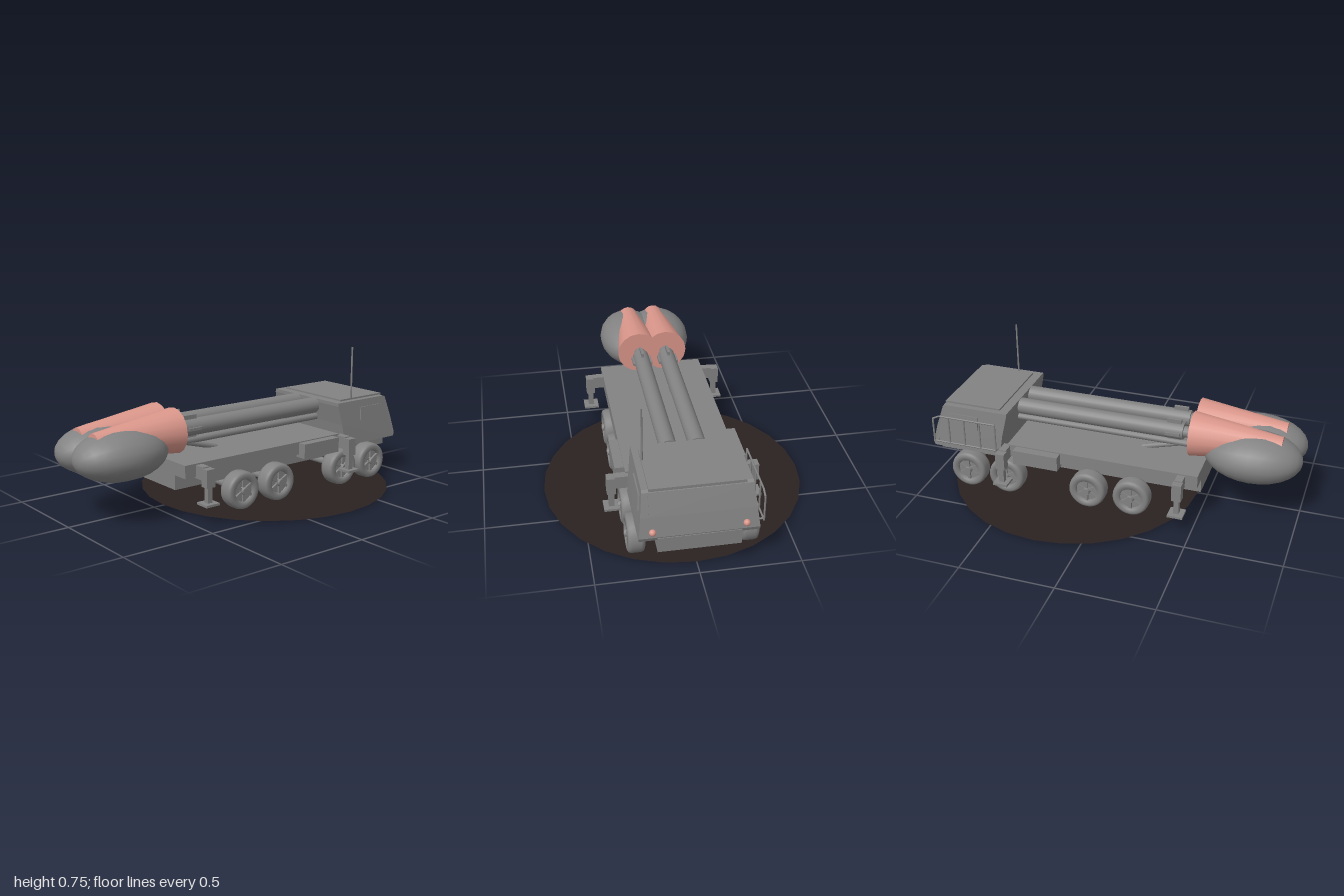
import * as THREE from 'three';

const mat = (name, color, side = THREE.FrontSide) => {
  const m = new THREE.MeshStandardMaterial({ color, side });
  m.name = name;
  return m;
};

export function createModel() {
  const root = new THREE.Group();
  const grey = mat('grey', 0x838282);
  const pink = mat('salmon', 0xda968a);
  const dark = mat('darkBase', 0x2b2121, THREE.DoubleSide);

  const add = (name, geo, material, x = 0, y = 0, z = 0, parent = root) => {
    const m = new THREE.Mesh(geo, material);
    m.name = name;
    m.position.set(x, y, z);
    parent.add(m);
    return m;
  };
  // box given by its limits
  const box = (name, x0, x1, y0, y1, z0, z1, parent = root) =>
    add(name, new THREE.BoxGeometry(x1 - x0, y1 - y0, z1 - z0), grey,
      (x0 + x1) / 2, (y0 + y1) / 2, (z0 + z1) / 2, parent);
  // rod between two points
  const rod = (name, a, b, r, parent = root, sides = 8) => {
    const p = new THREE.Vector3(...a), d = new THREE.Vector3(...b).sub(p);
    const m = add(name, new THREE.CylinderGeometry(r, r, d.length(), sides), grey, 0, 0, 0, parent);
    m.position.copy(p).addScaledVector(d, 0.5);
    m.quaternion.setFromUnitVectors(new THREE.Vector3(0, 1, 0), d.normalize());
    return m;
  };

  // round ground disc
  const disc = add('groundDisc', new THREE.CircleGeometry(0.685, 28), dark, 0.24, 0.006, 0);
  disc.rotation.x = -Math.PI / 2;

  // chassis and flat bed
  box('chassis', -0.505, 0.985, 0.145, 0.225, -0.2, 0.2);
  box('bed', -0.505, 0.535, 0.222, 0.29, -0.288, 0.288);

  // cab: extruded side profile, narrowed towards the roof
  const profile = new THREE.Shape([
    [0.59, 0.21], [0.975, 0.21], [0.982, 0.23], [0.957, 0.33], [0.92, 0.445],
    [0.905, 0.453], [0.55, 0.453], [0.55, 0.435], [0.572, 0.33],
  ].map(([x, y]) => new THREE.Vector2(x, y)));
  const cabGeo = new THREE.ExtrudeGeometry(profile, { depth: 0.574, bevelEnabled: false });
  cabGeo.translate(0, 0, -0.287);
  const pos = cabGeo.attributes.position;
  for (let i = 0; i < pos.count; i++) {
    const k = Math.max(0, (pos.getY(i) - 0.23) / 0.22);
    pos.setZ(i, pos.getZ(i) * (1 - 0.085 * k));
  }
  cabGeo.computeVertexNormals();
  add('cab', cabGeo, grey);
  box('roofPlate', 0.6, 0.918, 0.447, 0.462, -0.23, 0.23);
  const shield = add('windscreen', new THREE.BoxGeometry(0.009, 0.105, 0.47), grey, 0.939, 0.388, 0);
  shield.rotation.z = Math.atan2(0.037, 0.115);
  rod('antenna', [0.685, 0.45, 0.225], [0.685, 0.75, 0.225], 0.005);

  // rail along the cab's right side
  const rail = new THREE.Group();
  rail.name = 'sideRail';
  root.add(rail);
  const railZ = -0.308;
  rod('railTop', [0.6, 0.405, railZ], [0.925, 0.405, railZ], 0.005, rail);
  rod('railNose', [0.925, 0.405, railZ], [0.963, 0.385, railZ], 0.005, rail);
  rod('railFront', [0.963, 0.385, railZ], [0.963, 0.25, railZ], 0.005, rail);
  rod('railBottom', [0.6, 0.25, railZ], [0.963, 0.25, railZ], 0.005, rail);
  for (const x of [0.6, 0.69, 0.78, 0.87]) {
    rod('railPost', [x, 0.25, railZ], [x, 0.405, railZ], 0.005, rail);
  }
  for (const x of [0.6, 0.95]) {
    rod('railBracket', [x, 0.25, railZ], [x, 0.25, -0.27], 0.005, rail);
  }

  // tyre and hub cross-sections, turned about the axle
  const lathe = (pts, n) => new THREE.LatheGeometry(pts.map(p => new THREE.Vector2(...p)), n);
  const tyreGeo = lathe([[0.058, -0.04], [0.085, -0.042], [0.096, -0.036], [0.1, -0.022],
    [0.1, 0.022], [0.096, 0.036], [0.085, 0.042], [0.062, 0.042], [0.058, 0.025]], 28);
  const rimGeo = new THREE.CylinderGeometry(0.06, 0.06, 0.06, 24);
  const hubGeo = new THREE.CylinderGeometry(0.018, 0.022, 0.026, 12);
  const spokeGeo = new THREE.BoxGeometry(0.014, 0.014, 0.045);

  for (const s of [1, -1]) {
    // wheels
    for (const x of [-0.157, 0.085, 0.547, 0.77]) {
      const wheel = new THREE.Group();
      wheel.name = 'wheel';
      wheel.position.set(x, 0.102, s * 0.28);
      wheel.rotation.x = s * Math.PI / 2;
      root.add(wheel);
      add('tyre', tyreGeo, grey, 0, 0, 0, wheel);
      add('rim', rimGeo, grey, 0, -0.005, 0, wheel);
      add('hub', hubGeo, grey, 0, 0.037, 0, wheel);
      for (let i = 0; i < 6; i++) {
        const a = i * Math.PI / 3;
        const sp = add('spoke', spokeGeo, grey, 0.035 * Math.sin(a), 0.029, 0.035 * Math.cos(a), wheel);
        sp.rotation.y = a;
      }
      if (s > 0) rod('axle', [x, 0.105, -0.25], [x, 0.105, 0.25], 0.02);
    }

    // stabiliser jacks
    for (const x of [-0.42, 0.545]) {
      const jack = new THREE.Group();
      jack.name = 'jack';
      jack.position.set(x, 0, s * 0.362);
      root.add(jack);
      box('jackArm', -0.02, 0.02, 0.215, 0.283, s > 0 ? -0.09 : 0.015, s > 0 ? -0.015 : 0.09, jack);
      box('jackHousing', -0.025, 0.025, 0.185, 0.278, -0.023, 0.023, jack);
      box('jackLeg', -0.014, 0.014, 0.1, 0.19, -0.014, 0.014, jack);
      box('jackFoot', -0.04, 0.04, 0.093, 0.105, -0.04, 0.04, jack);
    }

    // side locker, side window, headlamp
    const locker = box('sideLocker', 0.24, 0.49, 0.205, 0.285, 0.27, 0.335);
    locker.position.z *= s;
    const paneShape = new THREE.Shape([[0.715, 0.335], [0.905, 0.335], [0.88, 0.412], [0.715, 0.412]]
      .map(p => new THREE.Vector2(...p)));
    const paneGeo = new THREE.ExtrudeGeometry(paneShape, { depth: 0.008, bevelEnabled: false });
    paneGeo.translate(-0.8, -0.373, -0.004);
    const pane = add('sideWindow', paneGeo, grey, 0.8, 0.373, s * 0.274);
    pane.rotation.x = -s * 0.11;
    add('headlamp', new THREE.SphereGeometry(0.017, 12, 8), pink, 0.98, 0.26, s * 0.222);

    // long upper tube with end dome, fins, lower rod and strut
    const z = s * 0.073;
    rod('upperTube', [-0.375, 0.415, z], [0.545, 0.415, z], 0.044, root, 20);
    add('tubeDome', new THREE.SphereGeometry(0.04, 16, 10), grey, 0.53, 0.415, z);
    rod('lowerRod', [-0.45, 0.347, z], [0.56, 0.347, z], 0.018, root, 12);
    rod('strut', [-0.36, 0.343, z], [-0.15, 0.285, z], 0.014);
    box('finUpright', -0.36, -0.283, 0.352, 0.48, z - 0.007, z + 0.007);
    box('finLevel', -0.36, -0.283, 0.408, 0.422, z - 0.054, z + 0.054);
    rod('tubeNeck', [-0.44, 0.415, z], [-0.37, 0.415, z], 0.03, root, 12);

    // salmon cone and grey oval pod at the rear
    const cone = add('rearCone', new THREE.CylinderGeometry(0.055, 0.119, 0.47, 16), pink, -0.655, 0.415, s * 0.076);
    cone.rotation.z = Math.PI / 2;
    const podGeo = new THREE.SphereGeometry(1, 20, 14);
    podGeo.rotateZ(Math.PI / 2);
    podGeo.scale(0.255, 0.13, 0.175);
    add('rearPod', podGeo, grey, -0.745, 0.345, s * 0.085);
  }
  return root;
}
